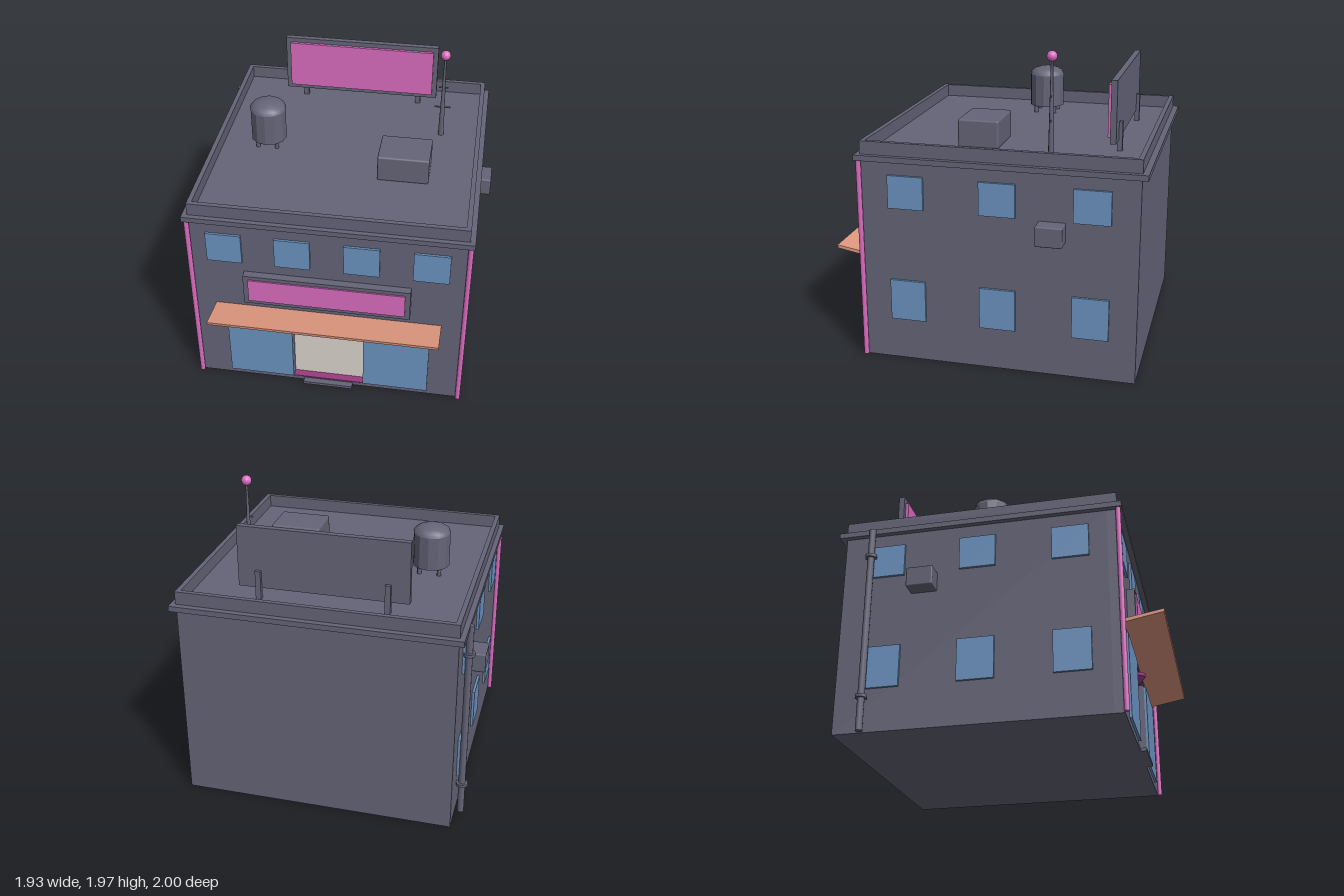
import * as THREE from 'three';
import { RoundedBoxGeometry } from 'three/addons/geometries/RoundedBoxGeometry.js';

const paint = (name, color) => {
  const m = new THREE.MeshStandardMaterial({ color });
  m.name = name;
  return m;
};

export function createModel() {
  const wall = paint('slate wall', 0x646478);
  const pink = paint('neon pink', 0xd96cc0);
  const glass = paint('window blue', 0x6b93c0);
  const cream = paint('door cream', 0xdad4cc);
  const orange = paint('awning orange', 0xe09880);
  const plum = paint('lamp plum', 0x9a3a80);

  const model = new THREE.Group();
  model.name = 'shopBuilding';
  const add = (name, geometry, material, x = 0, y = 0, z = 0) => {
    const mesh = new THREE.Mesh(geometry, material);
    mesh.name = name;
    mesh.position.set(x, y, z);
    model.add(mesh);
    return mesh;
  };
  // Box given by its limits on each axis
  const box = (name, material, x0, x1, y0, y1, z0, z1, round = 0) => {
    const size = [x1 - x0, y1 - y0, z1 - z0];
    const geometry = round ? new RoundedBoxGeometry(...size, 2, round) : new THREE.BoxGeometry(...size);
    return add(name, geometry, material, (x0 + x1) / 2, (y0 + y1) / 2, (z0 + z1) / 2);
  };
  const cylinder = (name, material, rTop, rBottom, y0, y1, x, z, sides = 12) =>
    add(name, new THREE.CylinderGeometry(rTop, rBottom, y1 - y0, sides), material, x, (y0 + y1) / 2, z);

  // Main block and front wall with a door recess
  box('mainBlock', wall, -0.86, 0.86, 0, 1.3, -0.96, 0.7);
  const facade = new THREE.Shape();
  [[-0.86, 0], [0.86, 0], [0.86, 1.3], [-0.86, 1.3]].forEach(([x, y], i) =>
    i ? facade.lineTo(x, y) : facade.moveTo(x, y));
  const opening = new THREE.Path();
  [[-0.235, 0.025], [-0.235, 0.585], [0.235, 0.585], [0.235, 0.025]].forEach(([x, y], i) =>
    i ? opening.lineTo(x, y) : opening.moveTo(x, y));
  facade.holes.push(opening);
  add('frontWall', new THREE.ExtrudeGeometry(facade, { depth: 0.06, bevelEnabled: false }), wall, 0, 0, 0.7);

  // Cornice and hollow parapet
  box('cornice', wall, -0.895, 0.895, 1.3, 1.335, -1, 0.795);
  const square = (Type, h) => new Type().moveTo(-h, -h).lineTo(h, -h).lineTo(h, h).lineTo(-h, h).closePath();
  const rim = square(THREE.Shape, 0.863);
  rim.holes.push(square(THREE.Path, 0.833));
  const rimGeometry = new THREE.ExtrudeGeometry(rim, { depth: 0.083, bevelEnabled: false });
  rimGeometry.rotateX(-Math.PI / 2);
  add('parapet', rimGeometry, wall, 0, 1.335, -0.1);

  // Door, shop windows, step and door lamp
  box('door', cream, -0.235, 0.235, 0.025, 0.585, 0.7, 0.708);
  for (const s of [-1, 1]) {
    const [a, b] = [s * 0.235, s * 0.663].sort((p, q) => p - q);
    box('shopWindow', glass, a, b, 0.04, 0.573, 0.755, 0.775);
  }
  box('doorStep', wall, -0.165, 0.165, 0, 0.02, 0.74, 0.8);
  box('thresholdGlow', plum, -0.235, 0.235, 0.024, 0.03, 0.709, 0.759);
  box('lampBar', plum, -0.165, 0.165, 0.57, 0.585, 0.715, 0.755);
  cylinder('lampShade', plum, 0.045, 0.045, 0.548, 0.57, 0, 0.755, 8);
  cylinder('lampTip', plum, 0.045, 0.006, 0.5, 0.548, 0, 0.755, 8);

  // Upper front windows
  for (const x of [-0.648, -0.217, 0.217, 0.648])
    box('frontWindow', glass, x - 0.112, x + 0.112, 0.998, 1.21, 0.755, 0.775);

  // Side windows, wall units and neon corner tubes
  for (const s of [-1, 1]) {
    const c = s * 0.866;
    for (const z of [0.475, -0.1, -0.678])
      for (const [y0, y1] of [[0.27, 0.534], [1.005, 1.215]])
        box('sideWindow', glass, c - 0.01, c + 0.01, y0, y1, z - 0.113, z + 0.113);
    box('wallUnit', wall, s * 0.91 - 0.056, s * 0.91 + 0.056, 0.872, 0.998, -0.518, -0.352, 0.008);
    cylinder('neonTube', pink, 0.016, 0.016, 0.005, 1.3, s * 0.871, 0.771);
  }

  // Sloping awning
  const awning = new THREE.Shape()
    .moveTo(0.75, 0.608).lineTo(0.997, 0.653).lineTo(1.0, 0.674).lineTo(0.75, 0.632).closePath();
  const awningGeometry = new THREE.ExtrudeGeometry(awning, { depth: 1.46, bevelEnabled: false });
  awningGeometry.rotateY(-Math.PI / 2);
  add('awning', awningGeometry, orange, 0.73, 0, 0);

  // Shop sign
  box('signFrame', wall, -0.53, 0.53, 0.702, 0.923, 0.755, 0.81);
  box('signFace', pink, -0.498, 0.498, 0.73, 0.897, 0.81, 0.819);

  // Roof billboard with rear posts
  box('billboardFrame', wall, -0.53, 0.53, 1.405, 1.796, -0.755, -0.717);
  box('billboardFace', pink, -0.498, 0.498, 1.437, 1.764, -0.717, -0.698);
  for (const x of [-0.4, 0.4])
    box('billboardPost', wall, x - 0.017, x + 0.017, 1.335, 1.52, -0.777, -0.745);

  // Water tank on legs
  const tankProfile = [[0, 1.385], [0.118, 1.385], [0.118, 1.605]];
  const tank = (points) => new THREE.LatheGeometry(points.map(([r, y]) => new THREE.Vector2(r, y)), 12);
  const tankBody = tank(tankProfile).toNonIndexed();
  tankBody.computeVertexNormals();
  add('tankBody', tankBody, wall, -0.533, 0, -0.1);
  const dome = [0, 1, 2, 3, 4].map((i) => [
    0.12 * Math.cos(i * Math.PI / 8), 1.603 + 0.057 * Math.sin(i * Math.PI / 8)]);
  add('tankDome', tank(dome), wall, -0.533, 0, -0.1);
  for (let i = 0; i < 4; i++) {
    const a = Math.PI / 4 + i * Math.PI / 2;
    cylinder('tankLeg', wall, 0.014, 0.014, 1.335, 1.39, -0.533 + 0.09 * Math.cos(a), -0.1 + 0.09 * Math.sin(a), 8);
  }

  // Roof unit
  box('roofUnit', wall, 0.235, 0.563, 1.335, 1.512, -0.032, 0.23, 0.012);

  // Antenna with crossbars and beacon
  cylinder('antennaMast', wall, 0.007, 0.019, 1.335, 1.92, 0.595, -0.37, 8);
  for (const [y, half] of [[1.55, 0.052], [1.7, 0.032]])
    box('antennaBar', wall, 0.595 - half, 0.595 + half, y - 0.004, y + 0.004, -0.374, -0.366);
  add('beacon', new THREE.SphereGeometry(0.033, 16, 12), pink, 0.595, 1.938, -0.37);

  // Drainpipe with collars
  cylinder('drainpipe', wall, 0.022, 0.022, 0, 1.33, -0.896, -0.778, 10);
  for (const y of [0.21, 1.14])
    cylinder('pipeCollar', wall, 0.038, 0.038, y - 0.01, y + 0.01, -0.896, -0.778, 8);

  return model;
}
